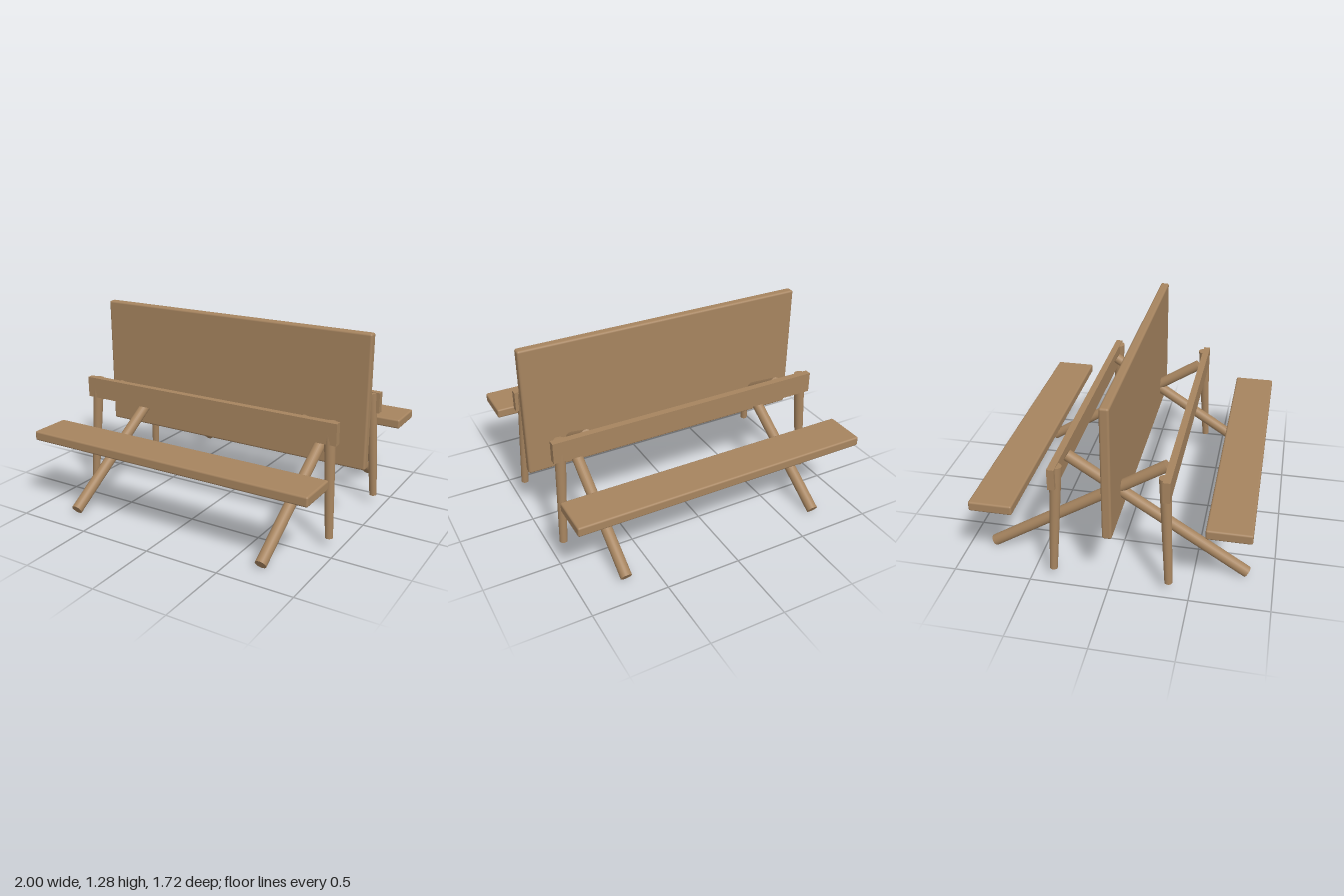
import * as THREE from 'three';
import { RoundedBoxGeometry } from 'three/addons/geometries/RoundedBoxGeometry.js';

export function createModel() {
  const group = new THREE.Group();
  group.name = 'foldingPicnicTable';
  const wood = new THREE.MeshStandardMaterial({ color: 0xa6845f });
  wood.name = 'tan wood';

  function add(name, geometry, x, y, z) {
    const mesh = new THREE.Mesh(geometry, wood);
    mesh.name = name;
    mesh.position.set(x, y, z);
    group.add(mesh);
    return mesh;
  }

  // Round pole from a foot point to a top point, optionally tapered
  function pole(name, foot, top, footRadius, topRadius) {
    const a = new THREE.Vector3(...foot);
    const b = new THREE.Vector3(...top);
    const axis = b.clone().sub(a);
    const mid = a.clone().add(b).multiplyScalar(0.5);
    const mesh = add(name, new THREE.CylinderGeometry(topRadius, footRadius, axis.length(), 24), mid.x, mid.y, mid.z);
    mesh.quaternion.setFromUnitVectors(new THREE.Vector3(0, 1, 0), axis.normalize());
  }

  // Upright table top
  add('tableTop', new RoundedBoxGeometry(2, 0.885, 0.06, 3, 0.014), 0, 0.838, 0);

  for (const side of [1, -1]) {
    const end = side > 0 ? 'front' : 'back';
    // Bench seat and support rail
    add(end + 'Seat', new RoundedBoxGeometry(2, 0.064, 0.275, 3, 0.012), 0, 0.515, side * 0.722);
    add(end + 'Rail', new THREE.BoxGeometry(1.886, 0.14, 0.045), 0, 0.735, side * 0.345);

    for (const x of [1, -1]) {
      const hand = x > 0 ? 'Left' : 'Right';
      // Long crossing brace, from the foot through to the opposite rail
      pole(end + hand + 'CrossLeg', [x * 0.7, 0.036, side * 0.832], [x * 0.7, 0.768, side * -0.313], 0.037, 0.037);
      // Splayed tapered leg under the rail
      pole(end + hand + 'RailLeg', [x * 0.922, 0.06, side * 0.366], [x * 0.882, 0.8, side * 0.328], 0.025, 0.037);
    }
  }
  return group;
}
